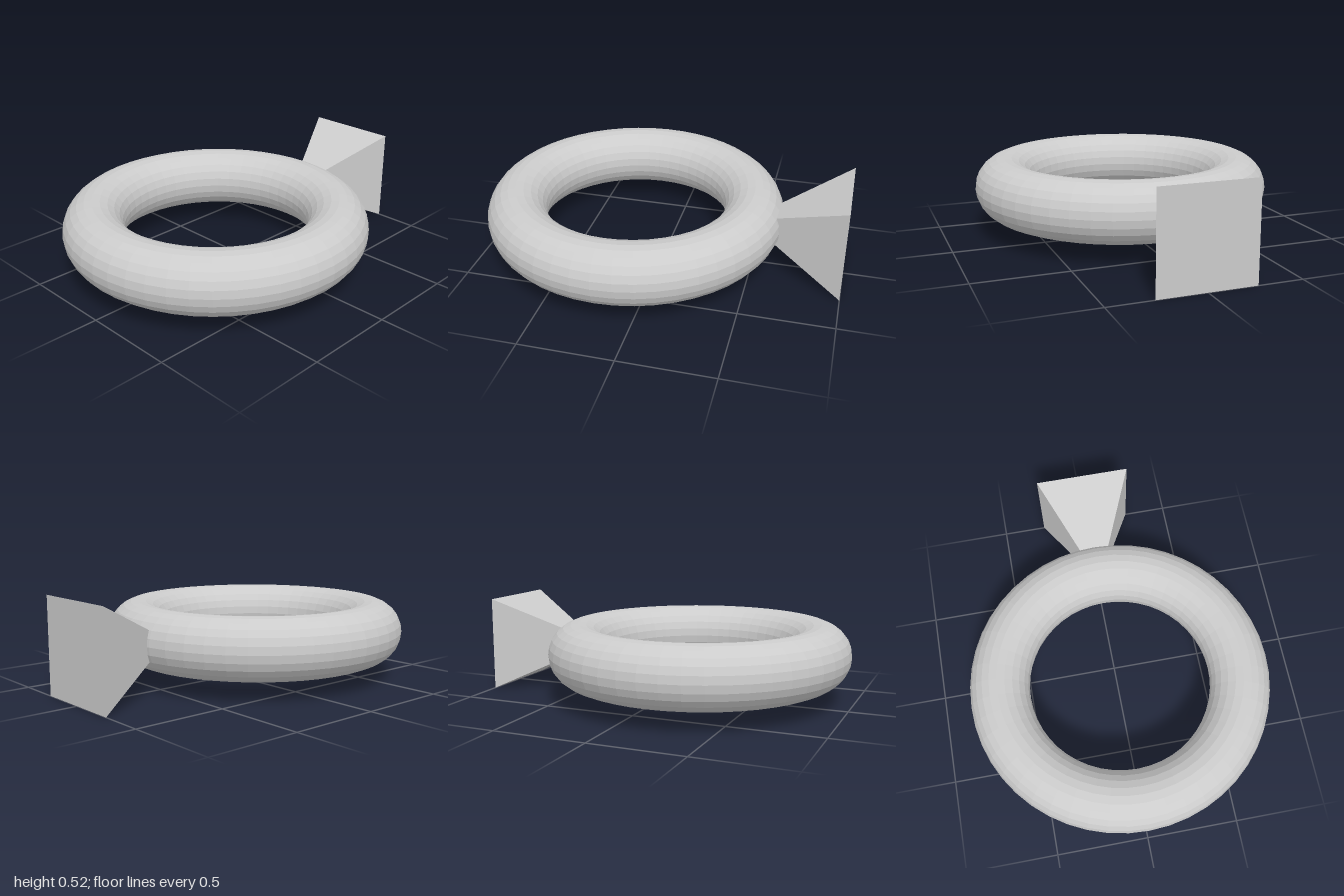
import * as THREE from 'three';

export function createModel() {
  const group = new THREE.Group();
  const material = new THREE.MeshStandardMaterial({ color: 0xcccccc, flatShading: true });
  const midY = 0.262;

  const add = (name, geometry, z) => {
    const mesh = new THREE.Mesh(geometry, material);
    mesh.name = name;
    mesh.position.set(0, midY, z);
    group.add(mesh);
  };

  // Ring lying flat
  add('ring', new THREE.TorusGeometry(0.661, 0.164, 24, 48).rotateX(Math.PI / 2), 0.172);

  // Square pyramid behind the ring, its tip buried in the tube
  const halfBase = 0.26, depth = 0.55;
  const pyramid = new THREE.ConeGeometry(halfBase * Math.SQRT2, depth, 4, 1, false, Math.PI / 4);
  add('pyramid', pyramid.rotateX(Math.PI / 2), -1 + depth / 2);

  return group;
}
